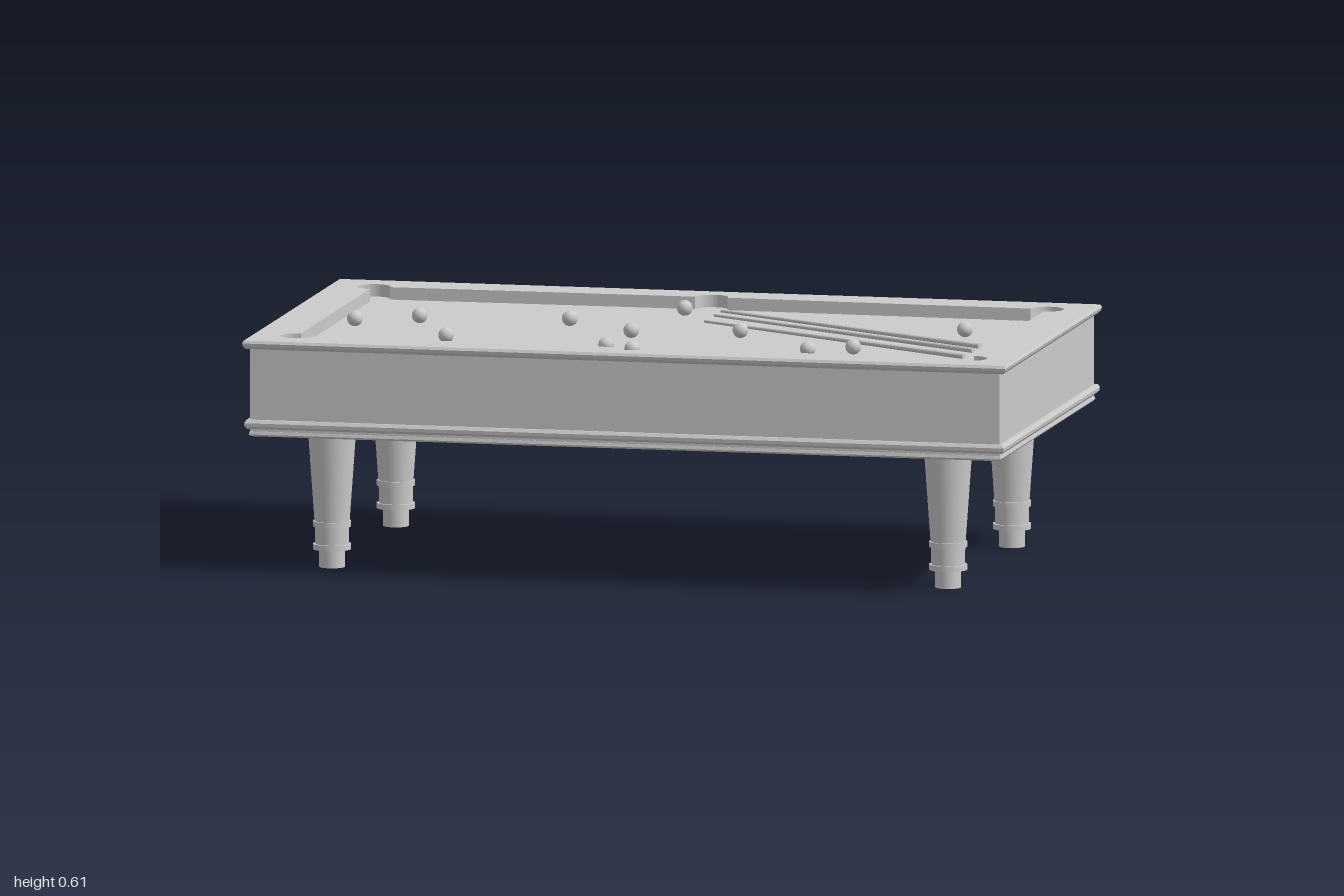
import * as THREE from 'three';

const RAIL_TOP = 0.604, BED = 0.572;
const grey = new THREE.MeshStandardMaterial({ color: 0xcccccc });
const greyFlat = new THREE.MeshStandardMaterial({ color: 0xcccccc, flatShading: true });
const greyThin = new THREE.MeshStandardMaterial({ color: 0xcccccc, side: THREE.DoubleSide });

function add(parent, name, geometry, material = grey) {
  const mesh = new THREE.Mesh(geometry, material);
  mesh.name = name;
  parent.add(mesh);
  return mesh;
}

// Sweeps a closed profile of [outward, y] points round a rectangle with mitred corners
function rectRing(hx, hz, profile) {
  const pos = [];
  const corners = [[1, 1], [1, -1], [-1, -1], [-1, 1]];
  const at = ([sx, sz], [d, y]) => [sx * (hx + d), y, sz * (hz + d)];
  corners.forEach((a, i) => {
    const b = corners[(i + 1) % 4];
    profile.forEach((p, j) => {
      const q = profile[(j + 1) % profile.length];
      pos.push(...at(a, p), ...at(b, p), ...at(b, q), ...at(a, p), ...at(b, q), ...at(a, q));
    });
  });
  const g = new THREE.BufferGeometry();
  g.setAttribute('position', new THREE.Float32BufferAttribute(pos, 3));
  g.computeVertexNormals();
  return g;
}

// Outline of the playing area: a rectangle with six round pockets
function playOutline(path) {
  const W = 0.882, H = 0.439, r = 0.043, P = Math.PI;
  const arcs = [
    [0, -H - 0.012, P, 2 * P], [W, -H, P, 2.5 * P], [W, H, 1.5 * P, 3 * P],
    [0, H + 0.012, 0, P], [-W, H, 0, 1.5 * P], [-W, -H, 0.5 * P, 2 * P],
  ];
  arcs.forEach(([x, y, a, b], i) => {
    if (i === 0) path.moveTo(x - r, y);
    path.absarc(x, y, r, a, b, false);
  });
  path.closePath();
  return path;
}

// Extrudes a plan shape downwards from the given height
function slab(shape, top, depth) {
  const g = new THREE.ExtrudeGeometry(shape, { depth, bevelEnabled: false, curveSegments: 14 });
  return g.rotateX(Math.PI / 2).translate(0, top, 0);
}

function buildTop(group) {
  const rail = new THREE.Shape([[-1, -1], [1, -1], [1, 1], [-1, 1]]
    .map(([x, y]) => new THREE.Vector2(x * 0.985, y * 0.54)));
  rail.holes.push(playOutline(new THREE.Path()));
  add(group, 'rail', slab(rail, RAIL_TOP, 0.02));
  add(group, 'railEdge', rectRing(0.985, 0.54, [
    [-0.001, 0.582], [0.007, 0.582], [0.013, 0.589], [0.015, 0.597], [0.011, RAIL_TOP], [-0.001, RAIL_TOP],
  ]));
  add(group, 'bed', slab(playOutline(new THREE.Shape()), BED, 0.01));

  // Thin wall lining the cushions and pockets
  const pts = playOutline(new THREE.Path()).getPoints(14);
  const pos = [], idx = [];
  pts.forEach((p, i) => {
    pos.push(p.x, RAIL_TOP, p.y, p.x, 0.545, p.y);
    const a = 2 * i, b = 2 * ((i + 1) % pts.length);
    idx.push(a, a + 1, b, b, a + 1, b + 1);
  });
  const wall = new THREE.BufferGeometry();
  wall.setAttribute('position', new THREE.Float32BufferAttribute(pos, 3));
  wall.setIndex(idx);
  const flatWall = wall.toNonIndexed();
  flatWall.computeVertexNormals();
  add(group, 'cushionWall', flatWall, greyThin);
}

function buildBody(group) {
  add(group, 'skirt', rectRing(0.982, 0.54, [[-0.02, 0.36], [0, 0.36], [0, 0.586], [-0.02, 0.586]]));
  add(group, 'lowerMoulding', rectRing(0.982, 0.54, [
    [-0.015, 0.376], [0.007, 0.376], [0.012, 0.382], [0.013, 0.391], [0.008, 0.399], [-0.015, 0.399],
  ]));
  add(group, 'baseMoulding', rectRing(0.98, 0.538, [
    [-0.025, 0.356], [0.001, 0.356], [0.005, 0.361], [0.003, 0.369], [-0.025, 0.369],
  ]));
}

function buildLegs(group) {
  // Stacked turned sections: bottom radius, top radius, bottom y, top y
  const sections = [
    ['foot', 0.033, 0.033, 0, 0.046], ['lowerRing', 0.049, 0.049, 0.046, 0.06],
    ['ankle', 0.043, 0.044, 0.06, 0.105], ['upperRing', 0.049, 0.049, 0.105, 0.119],
    ['shaft', 0.045, 0.062, 0.119, 0.358],
  ];
  for (const sx of [1, -1]) for (const sz of [1, -1]) {
    const leg = new THREE.Group();
    leg.name = (sz > 0 ? 'front' : 'back') + (sx > 0 ? 'Left' : 'Right') + 'Leg';
    leg.position.set(sx * 0.807, 0, sz * 0.366);
    for (const [name, r0, r1, y0, y1] of sections) {
      add(leg, name, new THREE.CylinderGeometry(r1, r0, y1 - y0, 32)).position.y = (y0 + y1) / 2;
    }
    group.add(leg);
  }
}

function buildGame(group) {
  const balls = [
    [-0.824, 0.03], [-0.674, -0.057], [-0.289, -0.094], [-0.043, -0.334], [-0.09, 0.073], [0.182, 0.012],
    [0.738, -0.129], [-0.532, 0.262], [-0.096, 0.336], [-0.016, 0.388], [0.422, 0.29], [0.527, 0.229],
  ];
  const sphere = new THREE.SphereGeometry(0.02, 24, 16);
  for (const [x, z] of balls) add(group, 'ball', sphere).position.set(x, BED + 0.02, z);

  // Three parallel cues lying on the bed
  const dx = 0.78, dz = 0.45;
  for (const z of [-0.39, -0.313, -0.205]) {
    const cue = add(group, 'cue', new THREE.CylinderGeometry(0.004, 0.007, Math.hypot(dx, dz), 12), greyFlat);
    cue.position.set(0.04 + dx / 2, BED + 0.007, z + dz / 2);
    cue.quaternion.setFromUnitVectors(new THREE.Vector3(0, 1, 0), new THREE.Vector3(-dx, 0, -dz).normalize());
  }
}

export function createModel() {
  const group = new THREE.Group();
  group.name = 'poolTable';
  buildTop(group);
  buildBody(group);
  buildLegs(group);
  buildGame(group);
  return group;
}
